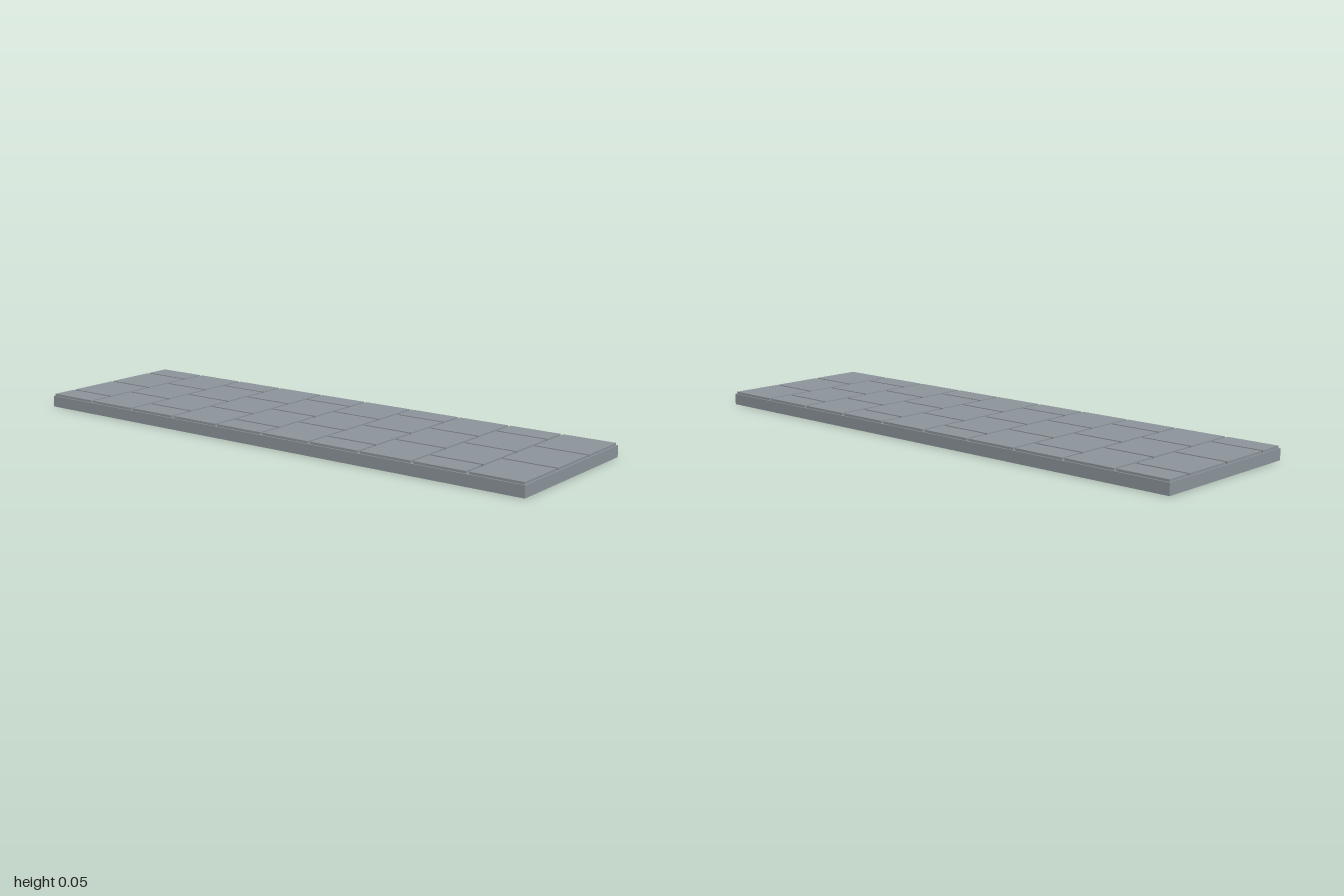
import * as THREE from 'three';

export function createModel() {
  const stone = new THREE.MeshStandardMaterial({ color: 0x8d959b });
  stone.name = 'grey stone';

  const group = new THREE.Group();
  group.name = 'pavedPath';

  const halfWidth = 0.3, slabHeight = 0.04, paverHeight = 0.008;
  const rows = 10, rowDepth = 0.2, gap = 0.01;

  // Foundation slab
  const slab = new THREE.Mesh(new THREE.BoxGeometry(halfWidth * 2, slabHeight, 2), stone);
  slab.name = 'slab';
  slab.position.y = slabHeight / 2;
  group.add(slab);

  // Raised pavers in running bond, joints shifted by half a paver on every other row
  const pavers = new THREE.Group();
  pavers.name = 'pavers';
  group.add(pavers);
  const joints = [[-0.3, -0.2, 0, 0.2, 0.3], [-0.3, -0.1, 0.1, 0.3]];
  for (let row = 0; row < rows; row++) {
    const edges = joints[row % 2];
    const z = -1 + rowDepth * (row + 0.5);
    for (let i = 0; i < edges.length - 1; i++) {
      const width = edges[i + 1] - edges[i] - gap;
      const paver = new THREE.Mesh(new THREE.BoxGeometry(width, paverHeight, rowDepth - gap), stone);
      paver.name = 'paver';
      paver.position.set((edges[i] + edges[i + 1]) / 2, slabHeight + paverHeight / 2, z);
      pavers.add(paver);
    }
  }
  return group;
}
